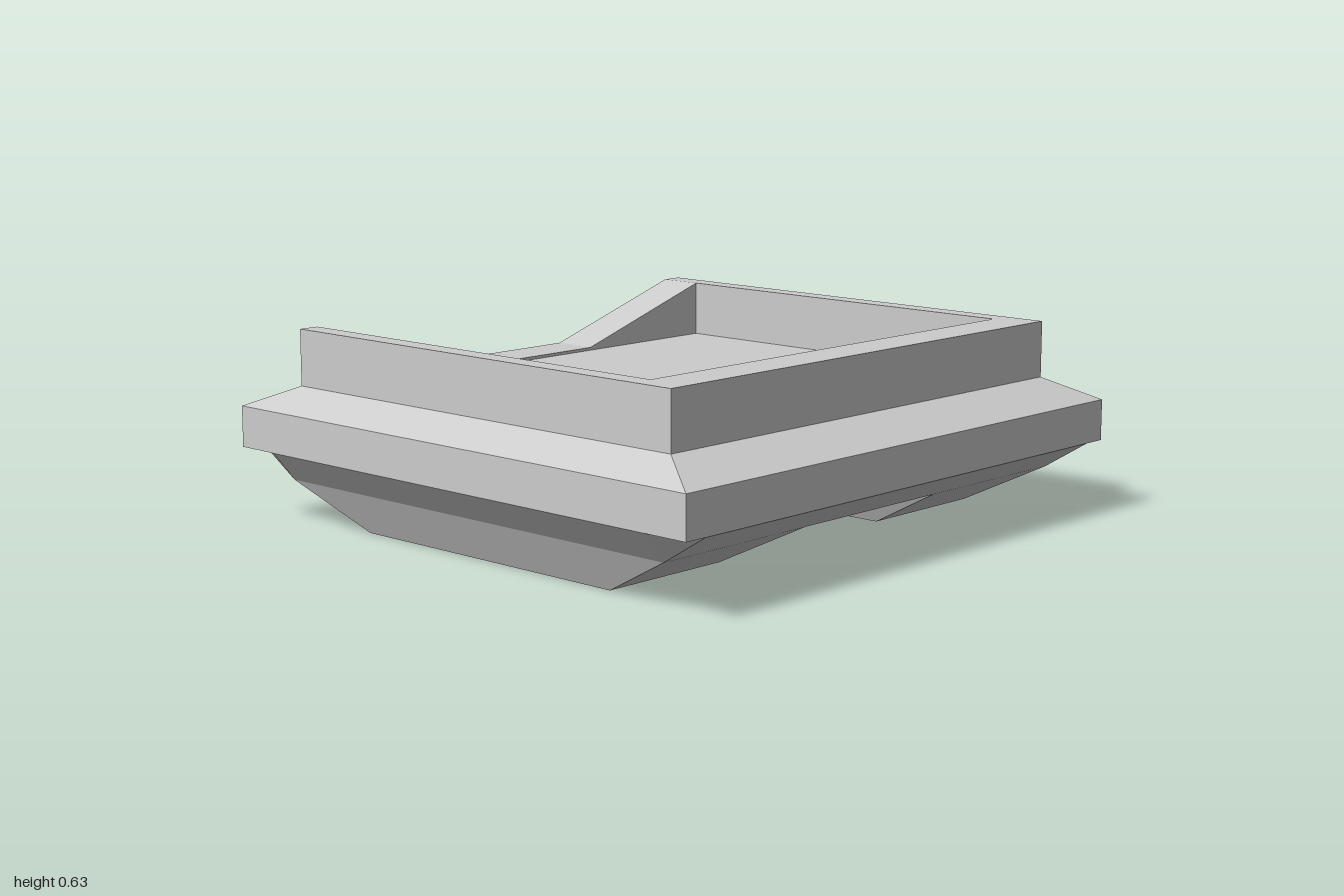
import * as THREE from 'three';

const material = new THREE.MeshStandardMaterial({ color: 0xcccccc, flatShading: true });

// Corners of a rectangle, counter-clockwise seen from above
const rect = (x0, x1, z0, z1) => [[x1, z1], [x1, z0], [x0, z0], [x0, z1]];

// Closed solid through stacked convex rings, listed bottom to top: [y, [[x, z], ...]]
function loft(rings) {
  const levels = rings.map(([y, pts]) => pts.map(([x, z]) => new THREE.Vector3(x, y, z)));
  const out = [];
  const tri = (a, b, c) => {
    if (a.equals(b) || b.equals(c) || c.equals(a)) return;
    for (const p of [a, b, c]) out.push(p.x, p.y, p.z);
  };
  const n = levels[0].length;
  const last = levels[levels.length - 1];
  for (let k = 0; k + 1 < levels.length; k++) {
    const a = levels[k], b = levels[k + 1];
    for (let i = 0; i < n; i++) {
      const j = (i + 1) % n;
      tri(a[i], a[j], b[j]);
      tri(a[i], b[j], b[i]);
    }
  }
  for (let i = 1; i + 1 < n; i++) {
    tri(levels[0][0], levels[0][i + 1], levels[0][i]);
    tri(last[0], last[i], last[i + 1]);
  }
  const g = new THREE.BufferGeometry();
  g.setAttribute('position', new THREE.Float32BufferAttribute(out, 3));
  g.computeVertexNormals();
  return g;
}

export function createModel() {
  const model = new THREE.Group();
  model.name = 'tray';
  const add = (name, geometry) => {
    const mesh = new THREE.Mesh(geometry, material);
    mesh.name = name;
    model.add(mesh);
    return mesh;
  };

  // Wide plinth with a sloped shoulder; its top is the tray floor
  const FLOOR = 0.445, TOP = 0.63;
  const edge = rect(-1, 1, -0.98, 0.98);
  add('plinth', loft([
    [0.24, edge],
    [0.375, edge],
    [FLOOR, rect(-0.885, 0.885, -0.815, 0.815)],
  ]));

  // Tapered underside with triangular facets at its corners
  const X = 0.92, Z = 0.82;
  add('underside', loft([
    [0.142, [[X, Z], [X, Z], [X, -Z], [X, -Z], [-X, -Z], [-X, -Z], [-X, Z], [-X, Z]]],
    [0.24, [[X, 0.98], [1, Z], [1, -Z], [X, -0.98], [-X, -0.98], [-1, -Z], [-1, Z], [-X, 0.98]]],
  ]));

  // Two broad runners
  for (const [side, name] of [[1, 'leftFoot'], [-1, 'rightFoot']]) {
    const span = (inner, outer, z0, z1) => side > 0
      ? rect(inner, outer, z0, z1) : rect(-outer, -inner, z0, z1);
    add(name, loft([
      [0, span(0.378, 0.85, -0.53, 0.54)],
      [0.142, span(0.308, X, -Z, Z)],
    ]));
  }

  // Front and side walls
  const wall = (name, x0, x1, z0, z1) => add(name, loft([
    [FLOOR, rect(x0, x1, z0, z1)],
    [TOP, rect(x0, x1, z0, z1)],
  ]));
  wall('frontWall', -0.885, 0.885, 0.67, 0.815);
  wall('leftWall', 0.815, 0.885, -0.66, 0.67);
  wall('rightWall', -0.885, -0.815, -0.66, 0.67);

  // Back wall with a wide sloping dip
  const profile = new THREE.Shape([
    [-0.885, FLOOR], [0.885, FLOOR], [0.885, TOP], [0.815, TOP],
    [0.27, 0.455], [-0.27, 0.455], [-0.815, TOP], [-0.885, TOP],
  ].map(([x, y]) => new THREE.Vector2(x, y)));
  add('backWall', new THREE.ExtrudeGeometry(profile, { depth: 0.155, bevelEnabled: false }))
    .position.z = -0.815;

  return model;
}
